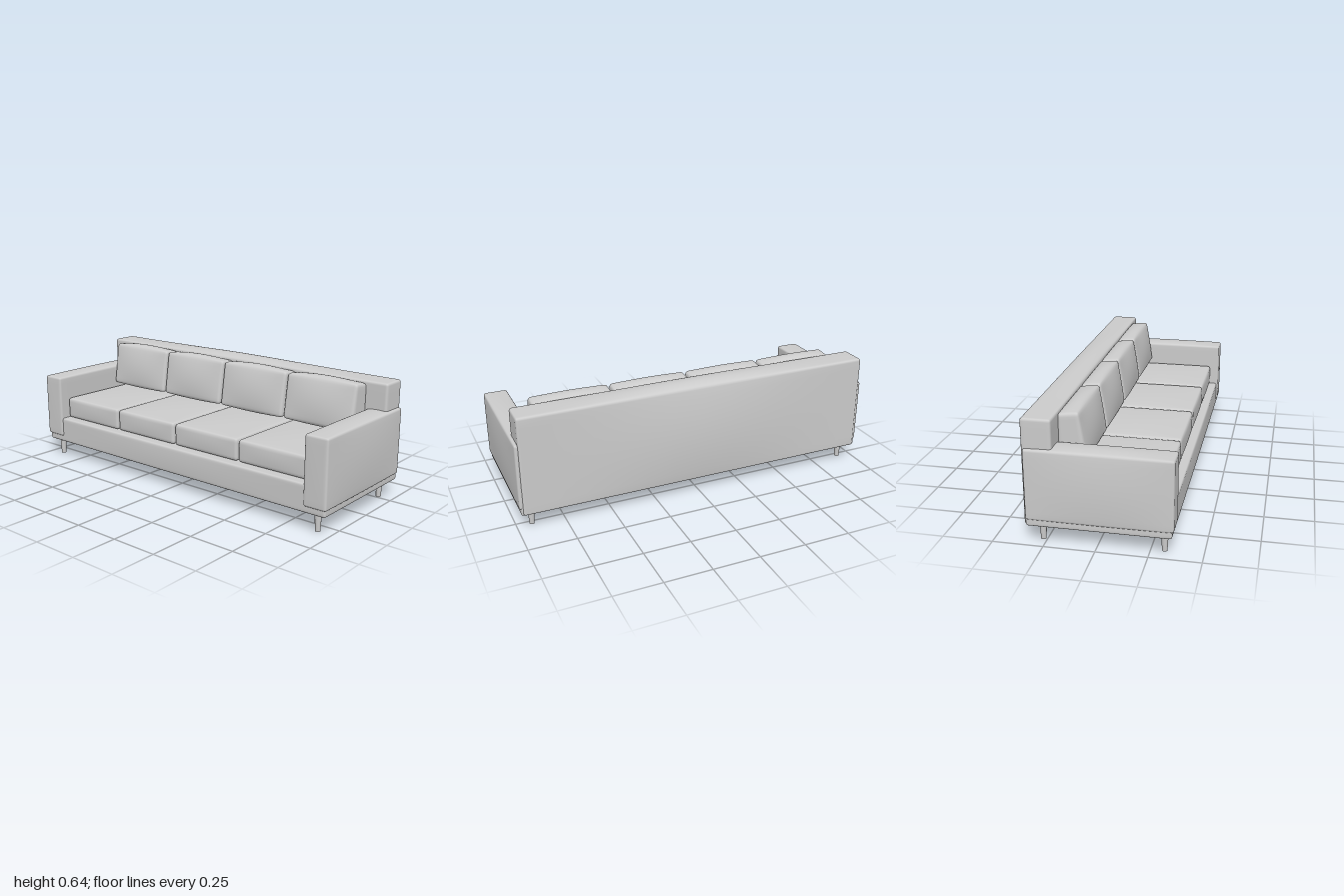
import * as THREE from 'three';
import { mergeVertices } from 'three/addons/utils/BufferGeometryUtils.js';

const ROUND = 3; // grid rows in each rounded edge
const FLAT = 12; // grid rows across each face

// Rounded, softly bulging block spanning min..max.
// bulge: [+x, -x, +y, -y, +z, -z]; peak sharpens the bulge along x.
function softBlock(min, max, r, bulge, peak = 1, bend = null) {
  const n = FLAT + 2 * ROUND;
  let g = new THREE.BoxGeometry(1, 1, 1, n, n, n);
  g.deleteAttribute('normal');
  g.deleteAttribute('uv');
  g = mergeVertices(g, 1e-4);
  const half = min.map((a, i) => (max[i] - a) / 2);
  const mid = min.map((a, i) => (max[i] + a) / 2);

  // place grid rows so the outer ones fall inside the edge radius
  const spread = (t, h) => {
    const k = Math.round((t + 0.5) * n);
    if (k < ROUND) return -h + r * (1 - Math.cos((k / ROUND) * Math.PI / 2));
    if (k > n - ROUND) return h - r * (1 - Math.cos(((n - k) / ROUND) * Math.PI / 2));
    return (h - r) * (2 * (k - ROUND) / FLAT - 1);
  };

  const p = g.attributes.position;
  const core = new THREE.Vector3();
  const v = new THREE.Vector3();
  for (let i = 0; i < p.count; i++) {
    v.set(spread(p.getX(i), half[0]), spread(p.getY(i), half[1]), spread(p.getZ(i), half[2]));
    core.copy(v);
    ['x', 'y', 'z'].forEach((c, j) => {
      core[c] = THREE.MathUtils.clamp(core[c], r - half[j], half[j] - r);
    });
    v.sub(core).setLength(r).add(core);

    // swell each face towards its middle
    const u = [v.x / half[0], v.y / half[1], v.z / half[2]];
    const w = u.map((a, j) => Math.pow(Math.max(0, 1 - a * a), j === 0 ? peak : 1));
    const push = (j) => (u[j] > 0 ? bulge[2 * j] : bulge[2 * j + 1]) * u[j];
    v.x += push(0) * w[1] * w[2] + mid[0];
    v.y += push(1) * w[0] * w[2] + mid[1];
    v.z += push(2) * w[0] * w[1] + mid[2];
    if (bend) bend(v, u);
    p.setXYZ(i, v.x, v.y, v.z);
  }
  g.computeVertexNormals();
  return g;
}

export function createModel() {
  const group = new THREE.Group();
  const fabric = new THREE.MeshStandardMaterial({ color: 0xcccccc });
  fabric.name = 'light grey';
  const add = (name, geometry) => {
    const m = new THREE.Mesh(geometry, fabric);
    m.name = name;
    group.add(m);
    return m;
  };

  // frame and backrest
  add('base', softBlock([-0.982, 0.09, -0.338], [0.982, 0.235, 0.357], 0.012,
    [0, 0, 0, 0.015, 0.004, 0], 3));
  add('backrest', softBlock([-0.973, 0.092, -0.346], [0.973, 0.627, -0.2], 0.014,
    [0, 0, 0.018, 0, 0, 0.022], 3));

  // arms
  for (const side of [-1, 1]) {
    const [a, b] = side > 0 ? [0.862, 0.99] : [-0.99, -0.862];
    add(side > 0 ? 'leftArm' : 'rightArm', softBlock([a, 0.126, -0.336], [b, 0.482, 0.366], 0.012,
      [side > 0 ? 0.01 : 0, side > 0 ? 0 : 0.01, 0.008, 0.008, 0.002, 0]));
  }

  // four seat cushions and four leaning back cushions
  const lean = (v, u) => {
    const up = (u[1] + 1) / 2;
    const forward = (u[2] + 1) / 2;
    v.z -= 0.038 * up * forward;
    v.y -= 0.012 * up * (1 - forward);
  };
  const pitch = 0.4305;
  for (let i = 0; i < 4; i++) {
    const x = (i - 1.5) * pitch;
    const h = pitch / 2 - 0.005;
    add('seatCushion' + (i + 1), softBlock([x - h, 0.236, -0.21], [x + h, 0.355, 0.315], 0.016,
      [0, 0, 0.009, 0, 0.005, 0]));
    add('backCushion' + (i + 1), softBlock([x - h, 0.381, -0.205], [x + h, 0.625, -0.066], 0.018,
      [0, 0, 0.014, 0.012, 0.016, 0], 1, lean));
  }

  // tapered legs
  const legShape = new THREE.CylinderGeometry(0.018, 0.013, 0.1, 20);
  for (const x of [-0.92, 0.92]) {
    for (const z of [0.315, -0.27]) {
      add(z > 0 ? 'frontLeg' : 'backLeg', legShape).position.set(x, 0.05, z);
    }
  }
  return group;
}
